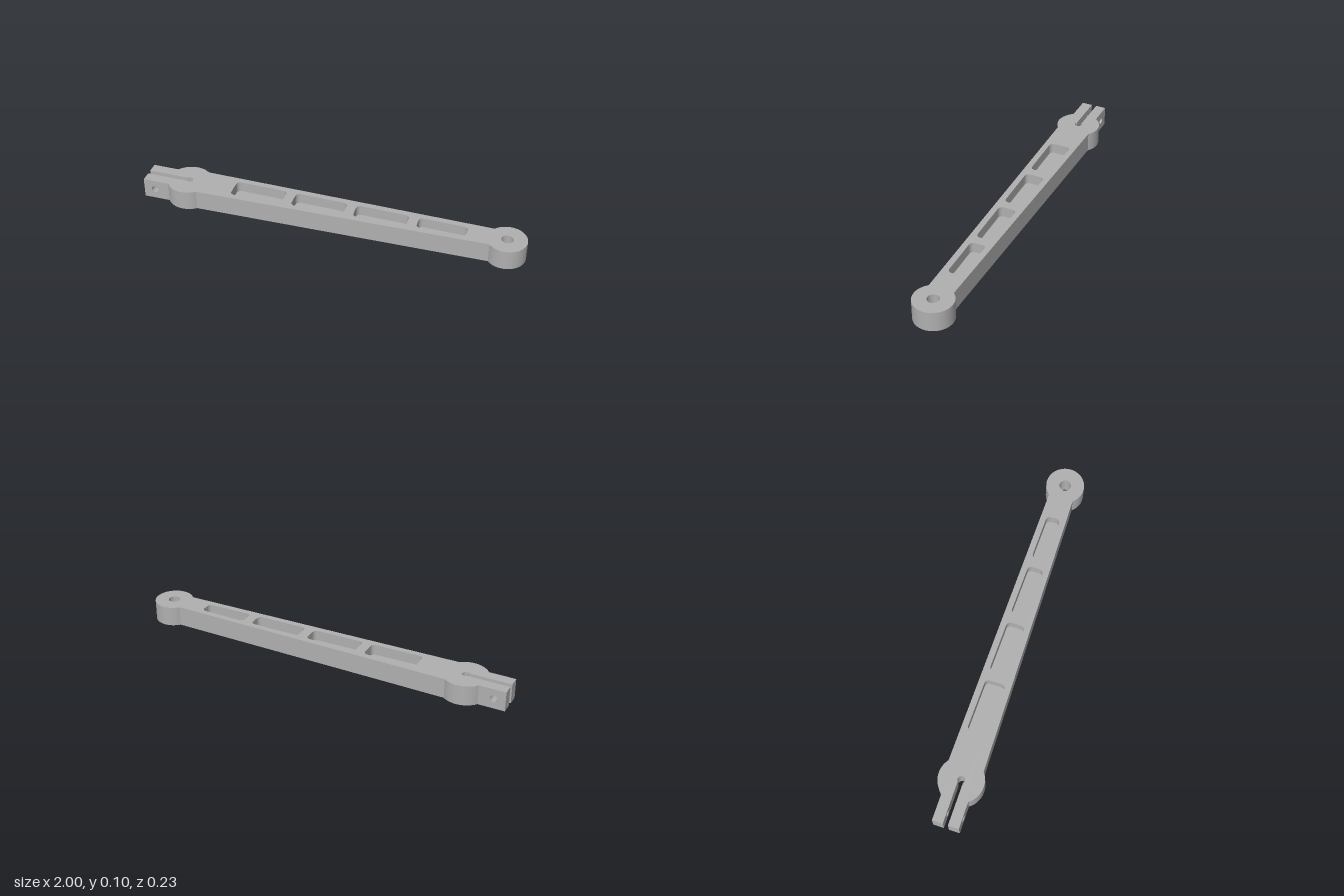
import * as THREE from 'three';
import { mergeGeometries } from 'three/addons/utils/BufferGeometryUtils.js';

const H = 0.105, FLOOR = 0.05;               // arm thickness, pocket floor height
const CLAMP_X = -0.77, CLAMP_R = 0.115, BORE_R = 0.018;
const PIVOT_X = 0.9, PIVOT_R = 0.1, PIN_R = 0.03;
const JAW = 0.068, SLOT = 0.013, BOLT_X = -0.94, BOLT_R = 0.018;
const BAR_A = 0.09, BAR_B = 0.065;           // half widths of the tapering bar
const PI = Math.PI;

const v = (x, y) => new THREE.Vector2(x, y);
const off = (r, y) => Math.sqrt(r * r - y * y);
const barHalf = x => BAR_A + (BAR_B - BAR_A) * (x + 0.7) / 1.52;

// Points on an arc in the plan, from angle a to angle b
function arc(cx, cy, r, a, b, n = 32) {
  return Array.from({ length: n + 1 }, (_, i) => {
    const t = a + (b - a) * i / n;
    return v(cx + r * Math.cos(t), cy + r * Math.sin(t));
  });
}

// Upright wall along a plan path, with the solid on the left of the path
function wall(points, y0 = 0, y1 = H) {
  const pos = [], index = [];
  points.forEach((p, i) => {
    pos.push(p.x, y0, -p.y, p.x, y1, -p.y);
    const k = 2 * i;
    if (i) index.push(k - 2, k, k + 1, k - 2, k + 1, k - 1);
  });
  const g = new THREE.BufferGeometry();
  g.setAttribute('position', new THREE.Float32BufferAttribute(pos, 3));
  g.setIndex(index);
  g.computeVertexNormals();
  return g;
}
const walls = (runs, y0, y1) => mergeGeometries(runs.map(r => wall(r, y0, y1)));

// Flat face over a plan outline, facing up or down
function cap(outline, holes, y, up = true) {
  const s = new THREE.Shape(outline);
  s.holes = holes.map(h => new THREE.Path(h));
  return new THREE.ShapeGeometry(s).rotateX(up ? -PI / 2 : PI / 2).translate(0, y, 0);
}

// Upright jaw face with the bolt hole, facing +z or -z
function jawFace(xEnd, z, dir) {
  const a = (-1 - BOLT_X) * dir, b = (xEnd - BOLT_X) * dir;
  const s = new THREE.Shape([v(a, -H / 2), v(b, -H / 2), v(b, H / 2), v(a, H / 2)]);
  s.holes.push(new THREE.Path(arc(0, 0, BOLT_R, 0, -2 * PI, 24)));
  const g = new THREE.ShapeGeometry(s);
  if (dir < 0) g.rotateY(PI);
  return g.translate(BOLT_X, H / 2, z);
}

// Clockwise runs of a tapered pocket with rounded corners
function pocketRuns(x0, x1) {
  const r = 0.022, h0 = barHalf(x0) - 0.031, h1 = barHalf(x1) - 0.031;
  const arcs = [
    arc(x0 + r, h0 - r, r, PI, PI / 2, 8),
    arc(x1 - r, h1 - r, r, PI / 2, 0, 8),
    arc(x1 - r, -h1 + r, r, 0, -PI / 2, 8),
    arc(x0 + r, -h0 + r, r, -PI / 2, -PI, 8),
  ];
  return arcs.flatMap((a, i) => [a, [a[8], arcs[(i + 1) % 4][0]]]);
}

export function createModel() {
  const group = new THREE.Group();
  const metal = new THREE.MeshStandardMaterial({ color: 0xb0b0b0 });
  metal.name = 'grey metal';
  const add = (name, geometry) => {
    const m = new THREE.Mesh(geometry, metal);
    m.name = name;
    group.add(m);
  };

  // Plan outline, counter-clockwise, made of arcs and straight runs
  const jawA = Math.asin(JAW / CLAMP_R), barA = Math.asin(BAR_A / CLAMP_R);
  const pivA = PI - Math.asin(BAR_B / PIVOT_R), boreA = PI - Math.asin(SLOT / BORE_R);
  const clampFront = arc(CLAMP_X, 0, CLAMP_R, PI + jawA, 2 * PI - barA);
  const clampBack = arc(CLAMP_X, 0, CLAMP_R, barA, PI - jawA);
  const pivot = arc(PIVOT_X, 0, PIVOT_R, -pivA, pivA, 56);
  const bore = arc(CLAMP_X, 0, BORE_R, boreA, -boreA, 28);
  const endBack = [v(-1, JAW), v(-1, SLOT)], endFront = [v(-1, -SLOT), v(-1, -JAW)];
  const outline = [...clampFront, ...pivot, ...clampBack, ...endBack, ...bore, ...endFront];

  const pin = arc(PIVOT_X, 0, PIN_R, 2 * PI, 0, 36);
  const pockets = [[-0.525, -0.25], [-0.2, 0.075], [0.125, 0.4], [0.45, 0.7]]
    .map(([a, b]) => pocketRuns(a, b));
  const pocketOutlines = pockets.map(runs => runs.filter((_, i) => i % 2 === 0).flat());
  const pinOutline = pin.slice(0, -1);

  // Top and bottom faces
  add('topFace', cap(outline, [pinOutline, ...pocketOutlines], H));
  add('bottomFace', cap(outline, [pinOutline], 0, false));

  // Outer sides
  add('barSides', walls([
    [clampFront.at(-1), pivot[0]],
    [pivot.at(-1), clampBack[0]],
  ]));
  add('clampBoss', walls([clampFront, clampBack]));
  add('pivotBoss', wall(pivot));
  add('pivotHole', wall(pin));
  add('clampBore', wall(bore));

  // Lightening pockets, closed at the bottom
  pockets.forEach((runs, i) => {
    add('pocketWall' + (i + 1), walls(runs, FLOOR, H));
    add('pocketFloor' + (i + 1), cap(pocketOutlines[i], [], FLOOR));
  });

  // Split clamp jaws with a cross bolt hole
  add('jawEnds', walls([endBack, endFront]));
  const jawRoot = CLAMP_X - off(CLAMP_R, JAW), slotRoot = CLAMP_X - off(BORE_R, SLOT);
  for (const s of [1, -1]) {
    const side = s > 0 ? 'front' : 'back';
    add(side + 'JawOuterFace', jawFace(jawRoot, s * JAW, s));
    add(side + 'JawSlotFace', jawFace(slotRoot, s * SLOT, -s));
    // Bore lining, facing inward
    const lining = wall(arc(0, 0, BOLT_R, 2 * PI, 0, 24), 0, JAW - SLOT);
    lining.rotateX(PI / 2).translate(BOLT_X, H / 2, s > 0 ? SLOT : -JAW);
    add(side + 'JawBoltHole', lining);
  }
  return group;
}
